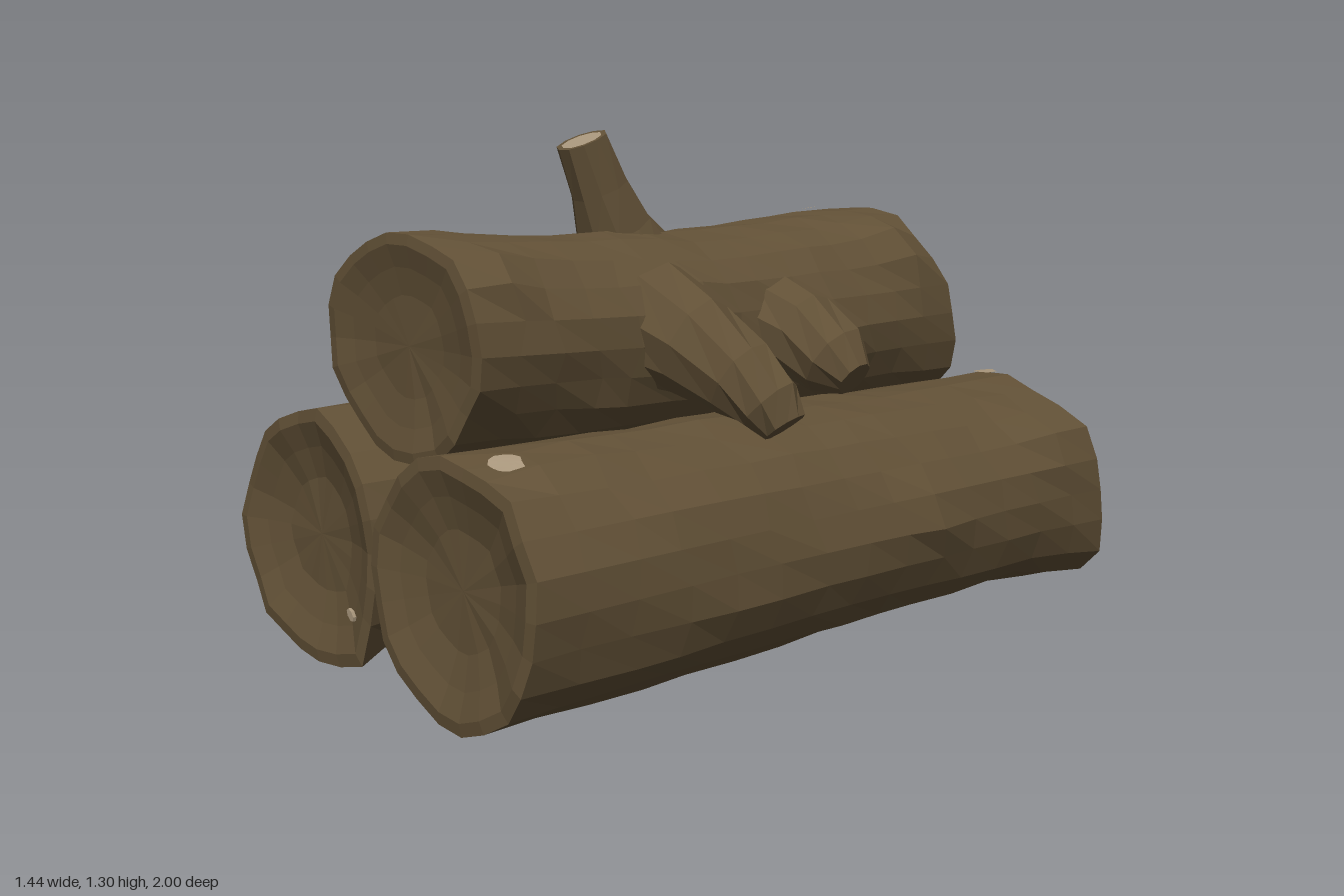
import * as THREE from 'three';

const bark = new THREE.MeshStandardMaterial({ color: 0x615036, flatShading: true });
bark.name = 'bark';
const wood = new THREE.MeshStandardMaterial({ color: 0xa8967c, flatShading: true });
wood.name = 'cutWood';

const SIDES = 22, ROWS = 14;
const { lerp } = THREE.MathUtils;

// Repeatable noise in -1..1
const hash = (a, b, c) => {
  const s = Math.sin(a * 127.1 + b * 311.7 + c * 74.7) * 43758.5453;
  return (s - Math.floor(s)) * 2 - 1;
};

// Skin between closed rings of points
function loft(rings) {
  const n = rings[0].length, pos = [], idx = [];
  rings.forEach(r => r.forEach(p => pos.push(p.x, p.y, p.z)));
  for (let i = 0; i < rings.length - 1; i++) {
    for (let j = 0; j < n; j++) {
      const a = i * n + j, b = i * n + (j + 1) % n;
      idx.push(a, b, b + n, a, b + n, a + n);
    }
  }
  const g = new THREE.BufferGeometry();
  g.setAttribute('position', new THREE.Float32BufferAttribute(pos, 3));
  g.setIndex(idx);
  g.computeVertexNormals();
  return g;
}

function add(group, name, rings, material) {
  const mesh = new THREE.Mesh(loft(rings), material);
  mesh.name = name;
  group.add(mesh);
}

const centreOf = ring => ring.reduce((s, p) => s.add(p), new THREE.Vector3()).divideScalar(ring.length);

// Ring shrunk towards its centre and shifted along z
function shrink(ring, k, dz) {
  const c = centreOf(ring);
  return ring.map(p => {
    const q = c.clone().lerp(p, k);
    q.z += dz;
    return q;
  });
}

// Log: stations back, middle, front as [x, y, z, rx, ry, tilt, yaw]; knots as [angle, t, height, spread]
function makeLog({ name, seed, dish, stations, knots, patches }) {
  const group = new THREE.Group();
  group.name = name;

  const surface = (a, t, lift = 0) => {
    const k = t < 0.5 ? 0 : 1, f = t * 2 - k;
    const [x, y, z, rx, ry, tilt, yaw] = stations[k].map((v, i) => lerp(v, stations[k + 1][i], f));
    let bump = lift + 0.007 * Math.sin(3 * a + seed + 3 * t) + 0.005 * Math.sin(7 * a + 9 * t + seed * 2);
    for (const [ka, kt, h, w] of knots) {
      const da = Math.atan2(Math.sin(a - ka), Math.cos(a - ka)) * 0.3, dt = (t - kt) * 1.8;
      bump += h * Math.exp(-(da * da + dt * dt) / (w * w));
    }
    return new THREE.Vector3(
      x + Math.cos(a) * (rx + bump), y + Math.sin(a) * (ry + bump), z + tilt * Math.sin(a) + yaw * Math.cos(a));
  };

  const rings = [];
  for (let i = 0; i <= ROWS; i++) {
    rings.push(Array.from({ length: SIDES }, (_, j) => {
      const end = i === 0 || i === ROWS;
      const p = surface(j / SIDES * Math.PI * 2, i / ROWS, 0.004 * hash(i, j, seed));
      p.z += hash(j, i, seed + 5) * (end ? 0.006 : 0.02);
      return p;
    }));
  }
  const back = rings[0], front = rings[ROWS];
  const rim = shrink(back, 0.87, 0.004);
  rim.forEach((p, j) => { p.y += 0.01 * hash(j, 3, seed); p.x += 0.01 * hash(j, 4, seed); });

  // Bark with a rolled rim behind and a dished front end
  add(group, 'barkSkin', [rim, ...rings,
    shrink(front, 0.9, 0.004), shrink(front, 0.7, -dish / 2), shrink(front, 0.45, -dish), shrink(front, 0, -dish)], bark);
  // Pale sawn end
  const core = shrink(back, 0.5, 0.01), middle = centreOf(core);
  add(group, 'sawnEnd', [core.map(() => middle), core, rim], wood);

  // Places where the bark has chipped away
  for (const [a, t, da, dt] of patches) {
    const disc = k => Array.from({ length: 12 }, (_, j) => {
      const u = j / 12 * Math.PI * 2, r = k * (1 + 0.15 * hash(j, 1, seed));
      return surface(a + da * r * Math.cos(u), t + dt * r * Math.sin(u), 0.009);
    });
    add(group, 'barkChip', [disc(1), disc(0.5), disc(0)], wood);
  }
  return group;
}

// Branch stub: points as [x, y, z, radius]
function makeBranch(name, points, tipMaterial) {
  const group = new THREE.Group();
  group.name = name;
  const curve = new THREE.CatmullRomCurve3(points.map(p => new THREE.Vector3(...p)));
  const last = points.length - 1;
  const rings = points.map((p, i) => {
    const q = new THREE.Quaternion().setFromUnitVectors(new THREE.Vector3(0, 0, 1), curve.getTangent(i / last));
    return Array.from({ length: 10 }, (_, j) => {
      const u = j / 10 * Math.PI * 2, r = p[3] * (1 + 0.06 * hash(i, j, p[0]));
      return new THREE.Vector3(Math.cos(u) * r, Math.sin(u) * r, 0).applyQuaternion(q).add(new THREE.Vector3(...p));
    });
  });
  const tip = rings[last], lip = shrink(tip, 0.8, 0);
  add(group, 'branchBark', [...rings, lip], bark);
  add(group, 'branchTip', [lip, shrink(tip, 0, 0)], tipMaterial);
  return group;
}

export function createModel() {
  const model = new THREE.Group();
  model.name = 'logPile';

  model.add(
    makeLog({
      name: 'lowerRightLog', seed: 1, dish: 0.04,
      stations: [[-0.3, 0.33, -0.885, 0.305, 0.3, 0.065, 0.02], [-0.355, 0.32, 0, 0.295, 0.295, 0.03, 0], [-0.4, 0.315, 0.88, 0.31, 0.31, -0.005, 0.01]],
      knots: [[0.65, 0.5, 0.1, 0.1], [-0.9, 0.99, 0.07, 0.07], [0.5, 0.03, 0.03, 0.1], [-0.2, 0.3, 0.04, 0.08], [-0.5, 0.66, 0.045, 0.08]],
      patches: [],
    }),
    makeLog({
      name: 'lowerLeftLog', seed: 2, dish: 0.035,
      stations: [[0.395, 0.335, -0.93, 0.32, 0.29, 0.065, 0.01], [0.345, 0.325, 0, 0.31, 0.29, 0.03, 0], [0.295, 0.315, 0.97, 0.325, 0.305, -0.01, 0.025]],
      knots: [[0.6, 0.03, 0.05, 0.09], [-0.75, 0.02, 0.06, 0.1], [0.1, 0.36, 0.025, 0.12], [2.5, 0.6, 0.03, 0.1], [1.25, 1, -0.03, 0.07]],
      patches: [[1.25, 0.962, 0.13, 0.018], [1.55, 0.026, 0.08, 0.018]],
    }),
    makeLog({
      name: 'topLog', seed: 3, dish: 0.02,
      stations: [[0.07, 0.805, -0.74, 0.285, 0.28, 0.07, 0.01], [0.01, 0.785, 0.04, 0.28, 0.255, 0.035, 0], [-0.05, 0.81, 0.835, 0.295, 0.27, 0.005, 0]],
      knots: [[0.7, 0.08, 0.055, 0.1], [0.65, 0.92, 0.03, 0.08], [Math.PI / 2, 0.6, 0.015, 0.12], [0.2, 0.6, 0.03, 0.15], [0.1, 0.28, 0.03, 0.12], [2.25, 0.06, 0.03, 0.09]],
      patches: [[1.98, 0.068, 0.15, 0.064]],
    }),
  );

  // Branch stubs
  model.add(
    makeBranch('uprightBranch', [[-0.02, 0.98, 0.16, 0.13], [-0.02, 1.06, 0.2, 0.1], [-0.02, 1.16, 0.25, 0.075], [-0.025, 1.28, 0.3, 0.066]], wood),
    makeBranch('lowerRightBranch', [[-0.51, 0.46, 0.15, 0.15], [-0.55, 0.57, 0.175, 0.11], [-0.59, 0.67, 0.2, 0.09], [-0.63, 0.755, 0.24, 0.08]], wood),
    makeBranch('topRightStub', [[-0.2, 0.8, -0.12, 0.15], [-0.3, 0.75, -0.22, 0.11], [-0.39, 0.715, -0.3, 0.07]], bark),
    makeBranch('topLeftBranch', [[0.17, 0.83, 0.24, 0.17], [0.31, 0.785, 0.225, 0.13], [0.43, 0.725, 0.2, 0.1], [0.51, 0.665, 0.185, 0.08], [0.545, 0.615, 0.175, 0.055]], bark),
    makeBranch('topLeftStub', [[0.2, 0.81, -0.12, 0.14], [0.32, 0.785, -0.14, 0.115], [0.42, 0.735, -0.15, 0.095], [0.48, 0.69, -0.155, 0.05]], bark),
  );

  // Small chip on the rim of the lower right log
  const chip = new THREE.Mesh(new THREE.CylinderGeometry(0.01, 0.01, 0.009, 7), wood);
  chip.name = 'rimChip';
  chip.scale.z = 1.8;
  chip.rotation.set(Math.PI / 2, 0.7, 0);
  chip.position.set(-0.21, 0.15, 0.885);
  model.add(chip);
  return model;
}
